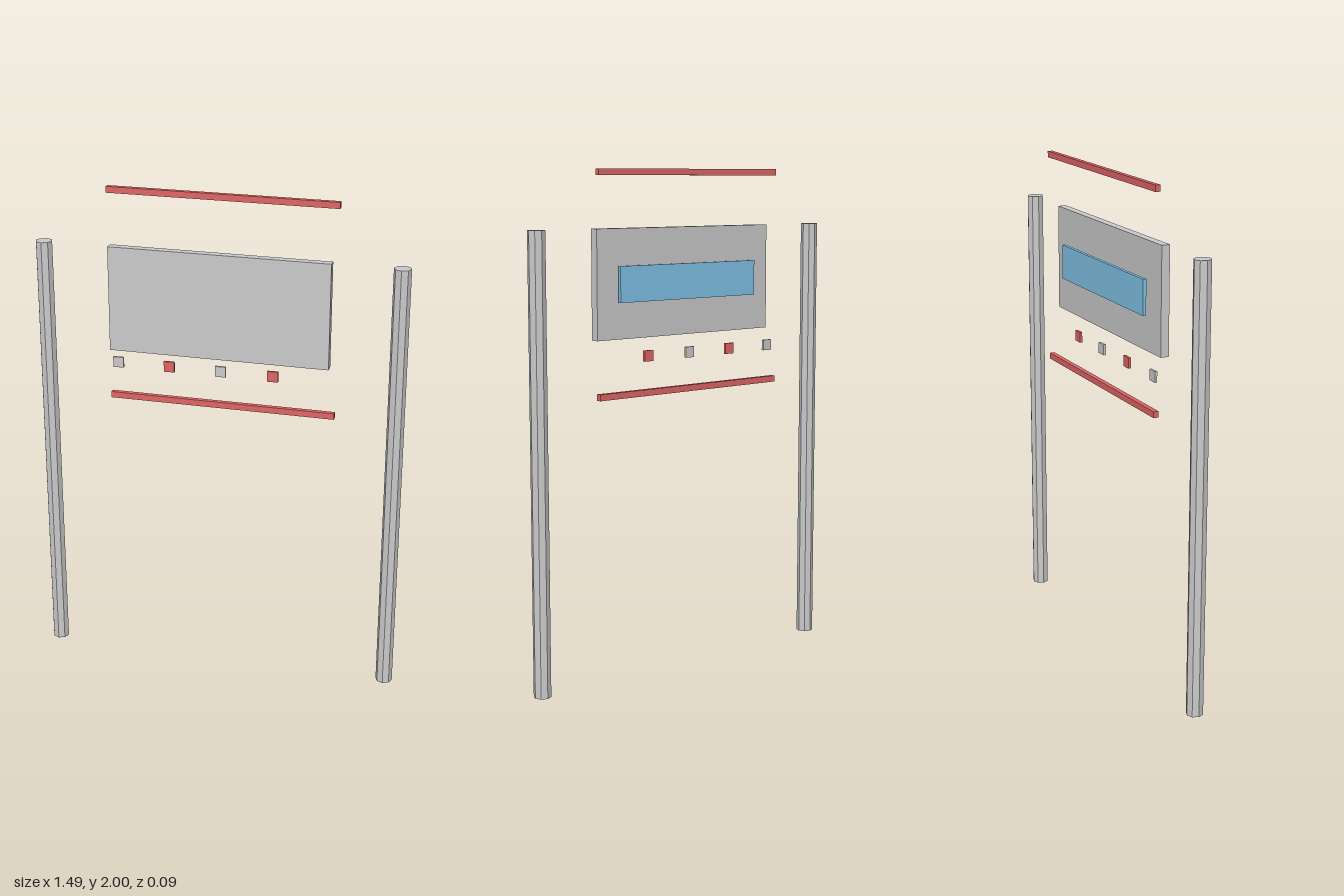
import * as THREE from 'three';

const material = (color) => new THREE.MeshStandardMaterial({ color, flatShading: true });

export function createModel() {
  const model = new THREE.Group();
  const grey = material(0xcccccc);
  const red = material(0xe06666);
  const blue = material(0x80c4e8);

  function add(name, geometry, mat, x, y, z) {
    const mesh = new THREE.Mesh(geometry, mat);
    mesh.name = name;
    mesh.position.set(x, y, z);
    model.add(mesh);
  }

  // Two eight-sided posts
  const postHeight = 1.775;
  const post = new THREE.CylinderGeometry(0.034, 0.034, postHeight, 8);
  add('leftPost', post, grey, 0.71, postHeight / 2, 0.01);
  add('rightPost', post, grey, -0.71, postHeight / 2, 0.01);

  // Sign panel with a screen on its back
  add('panel', new THREE.BoxGeometry(0.886, 0.425, 0.034), grey, 0, 1.5625, 0.01);
  add('screen', new THREE.BoxGeometry(0.70, 0.14, 0.014), blue, 0, 1.5625, -0.027);

  // Light bars above and below the panel
  const bar = new THREE.BoxGeometry(0.92, 0.025, 0.02);
  add('upperBar', bar, red, 0, 1.9875, -0.034);
  add('lowerBar', bar, red, 0, 1.1375, -0.034);

  // Row of small indicators, alternating grey and red
  const indicator = new THREE.BoxGeometry(0.043, 0.043, 0.01);
  for (let i = 0; i < 4; i++) {
    add(`indicator${i + 1}`, indicator, i % 2 ? red : grey, -0.427 + i * 0.2125, 1.28, -0.029);
  }

  return model;
}
